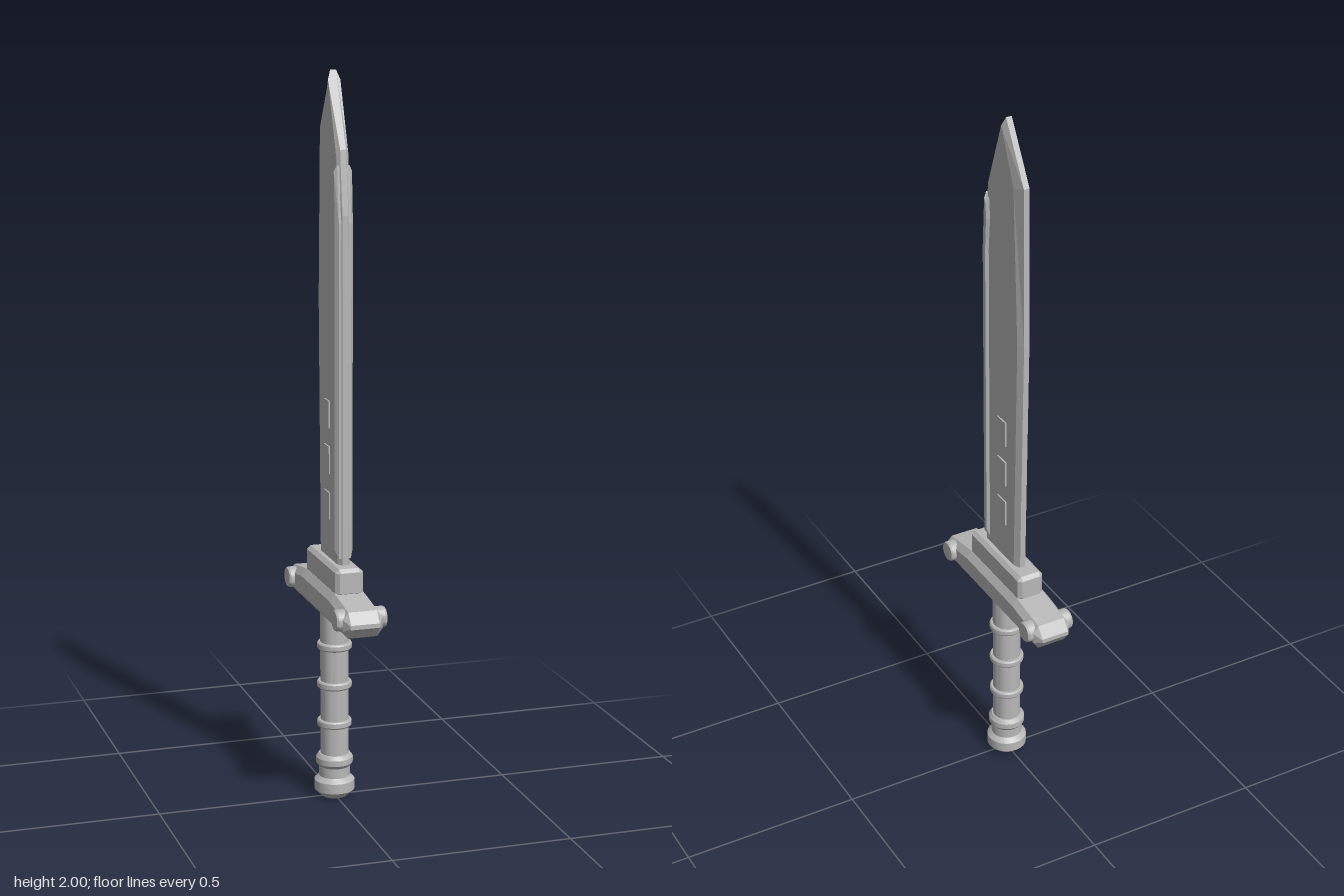
import * as THREE from 'three';
import { toCreasedNormals } from 'three/addons/utils/BufferGeometryUtils.js';

const steel = new THREE.MeshStandardMaterial({ color: 0xb8b8b8 });
steel.name = 'steel grey';

// Flat-faced solid through matching loops of [u, v] points at heights w, capped at both ends
function loft(sections) {
  const pos = [];
  const rings = sections.map(([w, loop]) => {
    const pts = loop.map(([u, v]) => new THREE.Vector3(u, v, w));
    return THREE.ShapeUtils.area(pts) < 0 ? pts.reverse() : pts;
  });
  const tri = (a, b, c) => pos.push(...a.toArray(), ...b.toArray(), ...c.toArray());
  const n = rings[0].length;
  for (let r = 0; r < rings.length - 1; r++) {
    const lo = rings[r], hi = rings[r + 1];
    for (let i = 0; i < n; i++) {
      const j = (i + 1) % n;
      tri(lo[i], lo[j], hi[j]);
      tri(lo[i], hi[j], hi[i]);
    }
  }
  const first = rings[0], last = rings[rings.length - 1];
  for (const [a, b, c] of THREE.ShapeUtils.triangulateShape(first, [])) tri(first[a], first[c], first[b]);
  for (const [a, b, c] of THREE.ShapeUtils.triangulateShape(last, [])) tri(last[a], last[b], last[c]);
  const geo = new THREE.BufferGeometry();
  geo.setAttribute('position', new THREE.Float32BufferAttribute(pos, 3));
  geo.computeVertexNormals();
  return geo;
}

// Bevelled plate standing in the z-y plane, mirrored across x; loops hold [z, y]
function plate(outer, inner, edgeX, faceX) {
  const flip = (loop) => loop.map(([z, y]) => [-z, y]);
  const o = flip(outer), i = flip(inner);
  return loft([[-faceX, i], [-edgeX, o], [edgeX, o], [faceX, i]]).rotateY(Math.PI / 2);
}

// Rectangle with cut corners
function octagon(half, y0, y1, cx, cy) {
  const right = [[half - cx, y0], [half, y0 + cy], [half, y1 - cy], [half - cx, y1]];
  return [...right, ...right.map(([x, y]) => [-x, y]).reverse()];
}

function turned(profile) {
  const pts = profile.map(([r, y]) => new THREE.Vector2(r, y));
  return toCreasedNormals(new THREE.LatheGeometry(pts, 24), 0.5);
}

export function createModel() {
  const model = new THREE.Group();
  model.name = 'dagger';
  const add = (name, geo) => {
    const mesh = new THREE.Mesh(geo, steel);
    mesh.name = name;
    model.add(mesh);
    return mesh;
  };

  // Blade with ground edges and clipped point
  add('blade', plate(
    [[0.096, 0.68], [0.096, 1.63], [0.075, 1.8], [-0.012, 2], [-0.103, 1.84], [-0.107, 1.39], [-0.09, 0.68]],
    [[0.082, 0.68], [0.082, 1.62], [0.066, 1.79], [-0.002, 1.975], [-0.066, 1.83], [-0.087, 1.39], [-0.07, 0.68]],
    0.008, 0.017));

  // Raised rib along the front edge, on both faces
  add('bladeRib', plate(
    [[0.093, 0.705], [0.093, 1.61], [0.077, 1.76], [0.06, 1.745], [0.056, 1.69], [0.064, 1.6], [0.064, 0.705]],
    [[0.082, 0.725], [0.082, 1.6], [0.073, 1.745], [0.066, 1.735], [0.063, 1.69], [0.069, 1.6], [0.069, 0.725]],
    0.017, 0.025));

  // Small raised blocks near the blade's base
  for (const y of [0.833, 0.96, 1.085]) {
    add('bladeBlock', new THREE.BoxGeometry(0.042, 0.075, 0.046)).position.set(0, y, -0.007);
  }

  // Bevelled collar under the blade
  const collar = octagon(0.039, 0.61, 0.687, 0.011, 0.01);
  const collarEnd = octagon(0.028, 0.62, 0.677, 0.002, 0.002);
  add('collar', loft([[-0.14, collarEnd], [-0.13, collar], [0.13, collar], [0.14, collarEnd]]));

  // Crossguard, tapering to wedge ends
  const guardMid = octagon(0.055, 0.53, 0.62, 0.015, 0.02);
  const guardSide = octagon(0.055, 0.53, 0.602, 0.015, 0.02);
  const guardEnd = octagon(0.041, 0.56, 0.572, 0.002, 0.002);
  add('crossguard', loft([
    [-0.272, guardEnd], [-0.248, guardSide], [-0.13, guardMid],
    [0.13, guardMid], [0.248, guardSide], [0.272, guardEnd],
  ]));

  // Round studs through the guard ends
  for (const side of [-1, 1]) {
    const stud = turned([[0, -0.07], [0.026, -0.07], [0.029, -0.065], [0.029, 0.065], [0.026, 0.07], [0, 0.07]]);
    add('guardStud', stud.rotateZ(Math.PI / 2)).position.set(0, 0.574, side * 0.22);
  }

  // Grip and pommel
  add('grip', turned([[0, 0.05], [0.039, 0.05], [0.039, 0.54], [0, 0.54]]));
  add('pommel', turned([
    [0, 0], [0.035, 0], [0.056, 0.02], [0.056, 0.048], [0.043, 0.06], [0.043, 0.088],
    [0.051, 0.098], [0.051, 0.114], [0.043, 0.125], [0.038, 0.125],
  ]));

  // Grip rings
  for (const y of [0.214, 0.325, 0.436]) {
    add('gripRing', turned([[0.038, -0.01], [0.045, -0.01], [0.048, -0.006], [0.048, 0.006], [0.045, 0.01], [0.038, 0.01]]))
      .position.y = y;
  }

  return model;
}
